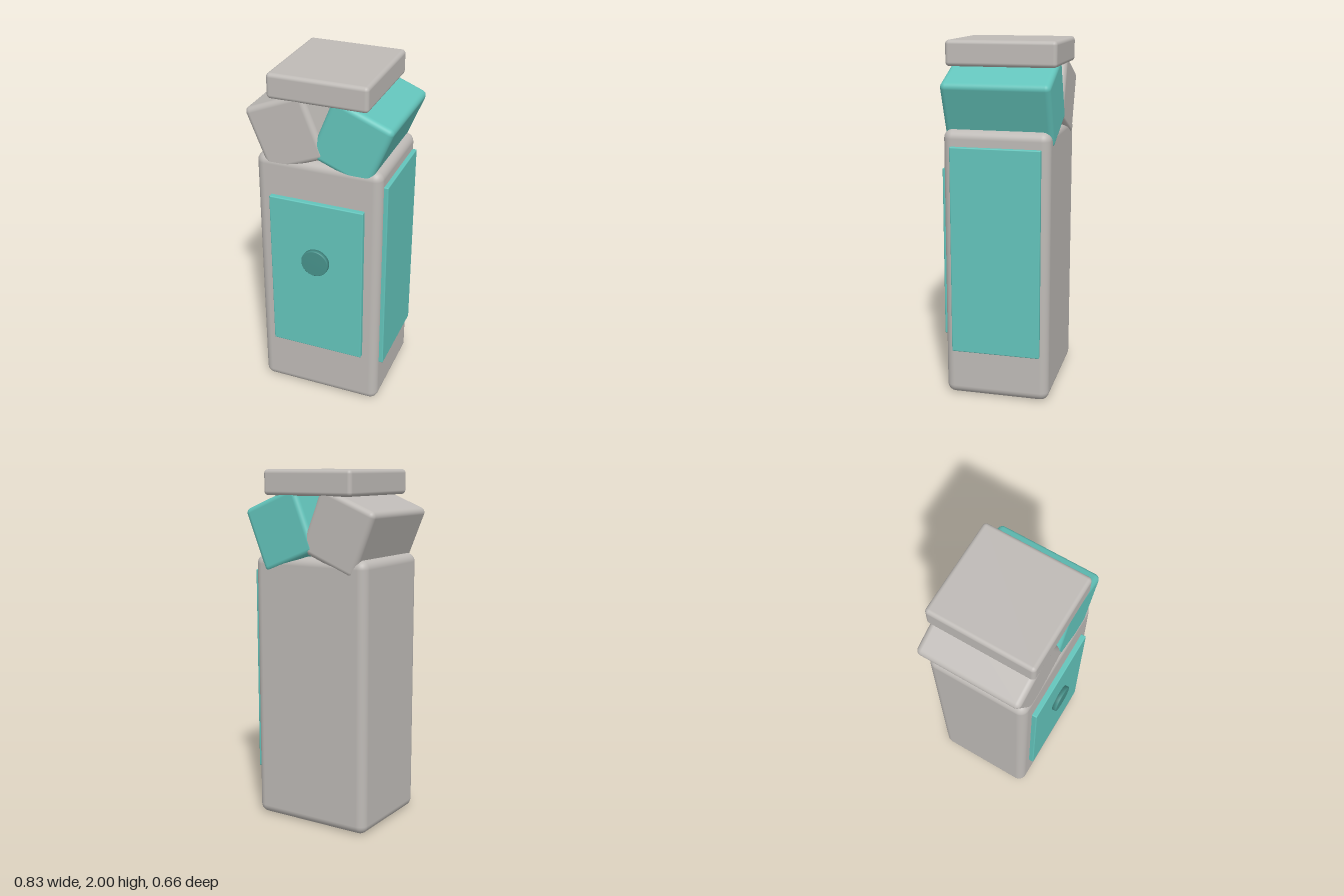
import * as THREE from 'three';
import { RoundedBoxGeometry } from 'three/addons/geometries/RoundedBoxGeometry.js';

export function createModel() {
  const model = new THREE.Group();
  model.name = 'carton';

  const material = (name, color) => {
    const m = new THREE.MeshStandardMaterial({ color });
    m.name = name;
    return m;
  };
  const grey = material('warm grey', 0xbebab6);
  const teal = material('teal', 0x63c4bb);
  const darkTeal = material('dark teal', 0x47918a);

  const add = (name, geometry, mat, x, y, z) => {
    const mesh = new THREE.Mesh(geometry, mat);
    mesh.name = name;
    mesh.position.set(x, y, z);
    model.add(mesh);
    return mesh;
  };

  // Rounded box given by its extents on each axis
  const block = (name, mat, [x0, x1], [y0, y1], [z0, z1], radius) =>
    add(name, new RoundedBoxGeometry(x1 - x0, y1 - y0, z1 - z0, 4, radius), mat,
      (x0 + x1) / 2, (y0 + y1) / 2, (z0 + z1) / 2);

  // Tall body and the cap bar across the top
  block('body', grey, [-0.362, 0.362], [0, 1.53], [-0.318, 0.276], 0.05);
  block('cap', grey, [-0.282, 0.282], [1.86, 2], [-0.333, 0.28], 0.022);

  // Two gable blocks leaning outward, mirrored left and right
  for (const side of [-1, 1]) {
    const gable = add(side < 0 ? 'rightGable' : 'leftGable',
      new RoundedBoxGeometry(0.36, 0.375, 0.597, 4, 0.03),
      side < 0 ? grey : teal, side * 0.185, 1.67, side < 0 ? -0.025 : -0.026);
    gable.rotation.z = -side * THREE.MathUtils.degToRad(22);
  }

  // Panels on the front and on the left side
  block('frontPanel', teal, [-0.275, 0.273], [0.33, 1.3], [0.265, 0.305], 0.006);
  block('sidePanel', teal, [0.35, 0.386], [0.27, 1.44], [-0.272, 0.23], 0.006);

  // Round button with a softened rim
  const profile = [[0, 0], [0.08, 0], [0.08, 0.031], [0.0785, 0.0345], [0.075, 0.036], [0, 0.036]]
    .map(([r, h]) => new THREE.Vector2(r, h));
  const button = add('button', new THREE.LatheGeometry(profile, 40), darkTeal, 0, 0.935, 0.295);
  button.rotation.x = Math.PI / 2;

  return model;
}
